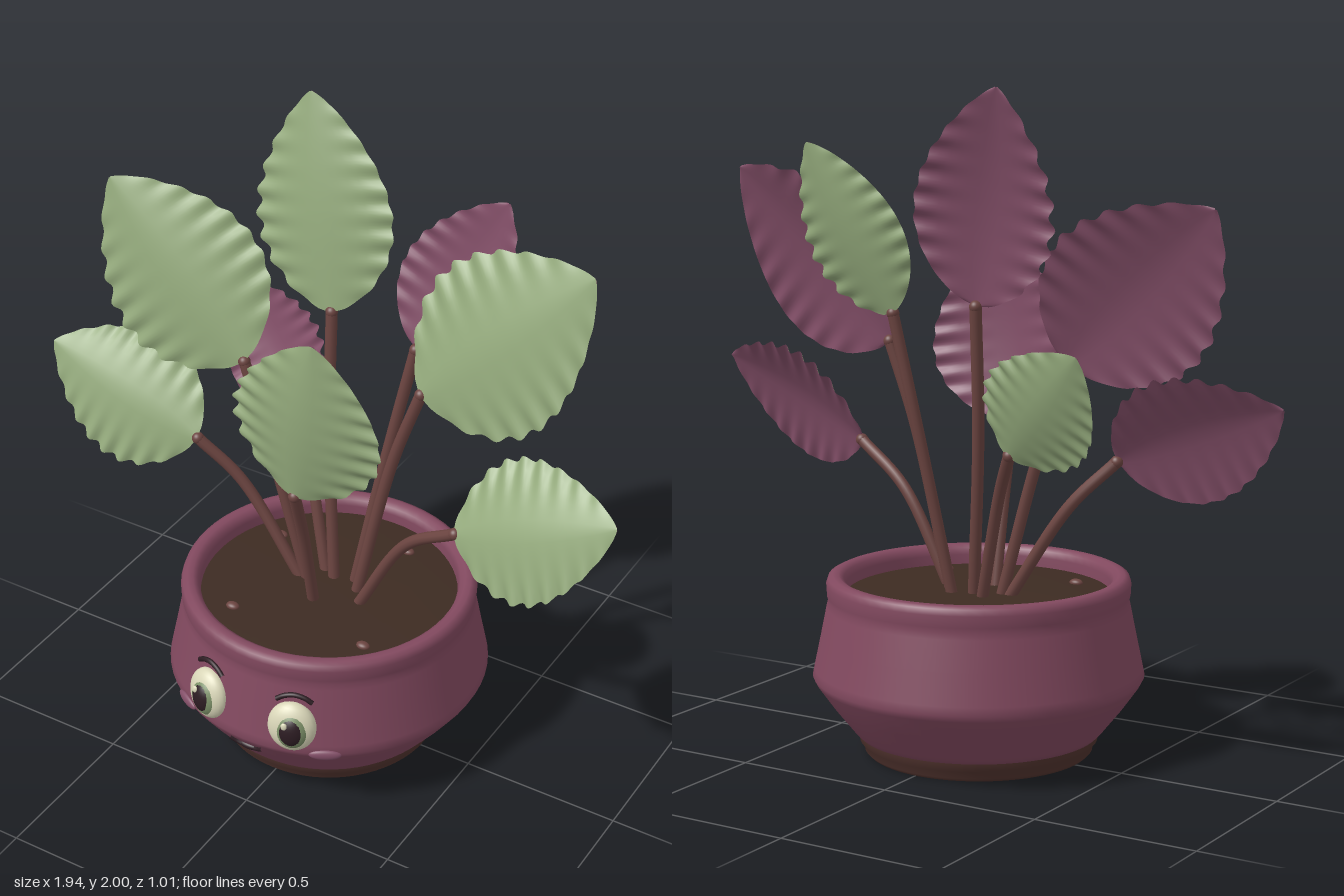
import * as THREE from 'three';

const mat = (name, color) => {
  const m = new THREE.MeshStandardMaterial({ color });
  m.name = name;
  return m;
};
const V = (x, y, z) => new THREE.Vector3(x, y, z);

export function createModel() {
  const model = new THREE.Group();
  model.name = 'pottedPlant';
  const potMat = mat('plum glaze', 0x82495f), footMat = mat('brown clay', 0x4f322d);
  const soilMat = mat('soil', 0x3d2b22), stemMat = mat('stem brown', 0x6b4440);
  const greenMat = mat('leaf green', 0x94aa7c), underMat = mat('leaf plum', 0x834f68);
  const whiteMat = mat('eye cream', 0xd9d6b8), irisMat = mat('iris green', 0x7c9068);
  const darkMat = mat('dark features', 0x2c1c22);

  const add = (parent, name, geometry, material) => {
    const mesh = new THREE.Mesh(geometry, material);
    mesh.name = name;
    parent.add(mesh);
    return mesh;
  };
  const lathe = (pts) => new THREE.LatheGeometry(pts.map(([x, y]) => new THREE.Vector2(x, y)), 64);
  const blob = (parent, name, material, pos, scale) => {
    const m = add(parent, name, new THREE.SphereGeometry(1, 28, 18), material);
    m.position.set(...pos);
    m.scale.set(...scale);
    return m;
  };
  const tube = (parent, name, pts, r, material, n = 24) =>
    add(parent, name, new THREE.TubeGeometry(new THREE.CatmullRomCurve3(pts), n, r, 10), material);

  // Pot, foot and soil
  const pot = new THREE.Group();
  pot.name = 'pot';
  pot.position.set(-0.01, 0, -0.005);
  model.add(pot);
  add(pot, 'foot', lathe([[0, 0.015], [0.29, 0.015], [0.3, 0], [0.335, 0], [0.345, 0.01],
    [0.347, 0.03], [0.36, 0.04], [0.362, 0.065]]), footMat);
  add(pot, 'potBody', lathe([[0.34, 0.055], [0.365, 0.06], [0.38, 0.075], [0.44, 0.15], [0.49, 0.22],
    [0.5, 0.24], [0.495, 0.265], [0.475, 0.36], [0.457, 0.45], [0.452, 0.47], [0.456, 0.485],
    [0.458, 0.52], [0.452, 0.538], [0.438, 0.545], [0.42, 0.545], [0.405, 0.535], [0.398, 0.515],
    [0.398, 0.46]]), potMat);
  add(pot, 'soil', lathe([[0.402, 0.485], [0.25, 0.492], [0, 0.495]]), soilMat);
  for (const [x, z] of [[-0.2, 0.24], [0.24, 0.2], [-0.27, -0.15], [0.12, -0.28]])
    blob(pot, 'pebble', stemMat, [x, 0.492, z], [0.022, 0.012, 0.016]);

  // Face, laid on the curved wall of the pot
  const wall = (y) => (y > 0.24 ? 0.5 - (y - 0.24) * 0.2 : 0.5 - (0.24 - y) * 0.7);
  const onPot = (x, y, lift = 0) => V(x, y, Math.sqrt(wall(y) ** 2 - x * x) + lift);
  const face = new THREE.Group();
  face.name = 'face';
  pot.add(face);
  for (const side of [-1, 1]) {
    const eye = new THREE.Group();
    eye.name = side > 0 ? 'leftEye' : 'rightEye';
    eye.position.copy(onPot(side * 0.148, 0.325, -0.003));
    eye.rotation.set(-0.12, side * 0.3, 0, 'YXZ');
    face.add(eye);
    blob(eye, 'eyeWhite', whiteMat, [0, 0, 0], [0.075, 0.083, 0.042]);
    blob(eye, 'iris', irisMat, [0.004, -0.003, 0.013], [0.054, 0.064, 0.036]);
    blob(eye, 'pupil', darkMat, [0.004, -0.003, 0.018], [0.046, 0.056, 0.034]);
    blob(eye, 'eyeGlint', whiteMat, [-0.014, 0.022, 0.046], [0.01, 0.012, 0.006]);
    const brow = [-0.052, -0.03, 0, 0.03, 0.052].map((u) =>
      onPot(side * 0.148 + u, 0.432 - u * u * 8, 0.004));
    tube(face, 'eyebrow', brow, 0.008, darkMat);
    const cheek = blob(face, 'cheek', underMat, onPot(side * 0.247, 0.235).toArray(), [0.05, 0.018, 0.012]);
    cheek.rotation.y = side * 0.5;
  }
  const smile = [-0.058, -0.035, 0, 0.035, 0.058].map((u) =>
    onPot(u, 0.188 + u * u * 6.5, 0.006));
  tube(face, 'mouth', smile, 0.008, darkMat);
  blob(face, 'mouthFill', darkMat, onPot(0, 0.192, 0.002).toArray(), [0.036, 0.012, 0.014]);

  // Leaf blade: scalloped oval, folded along the midrib, with ruffled edges
  function blade(base, tip, hint, width, fold, back) {
    const d = tip.clone().sub(base), length = d.length();
    d.normalize();
    const n = hint.clone().addScaledVector(d, -hint.dot(d)).normalize();
    const c = d.clone().cross(n);
    const rows = 72, cols = 12, pos = [], index = [];
    for (let i = 0; i <= rows; i++) {
      const t = i / rows;
      const w = Math.max(0.015, Math.sin(Math.PI * Math.min(t, 0.9999) ** 0.8) ** 0.75);
      const wave = Math.cos(t * Math.PI * 18);
      for (let j = 0; j <= cols; j++) {
        const s = (j / cols) * 2 - 1, a = Math.abs(s);
        const across = s * w * width * 0.5 * (1 + 0.035 * wave * a ** 3);
        const height = 0.022 * Math.sin(Math.PI * t) - fold * w * a ** 1.4
          + 0.007 * wave * w * a ** 3 - (back ? 0.006 * (1 - a * a) : 0);
        const p = base.clone().addScaledVector(d, t * length)
          .addScaledVector(c, across).addScaledVector(n, height);
        pos.push(p.x, p.y, p.z);
        if (i < rows && j < cols) {
          const k = i * (cols + 1) + j, u = k + cols + 1;
          if (back) index.push(k, u, k + 1, k + 1, u, u + 1);
          else index.push(k, k + 1, u, k + 1, u + 1, u);
        }
      }
    }
    const g = new THREE.BufferGeometry();
    g.setAttribute('position', new THREE.Float32BufferAttribute(pos, 3));
    g.setIndex(index);
    g.computeVertexNormals();
    return g;
  }

  // Each leaf: stem root, stem middle, blade base, blade tip, facing, width, fold
  const leaves = [
    ['lowRight', [-0.11, 0.47, -0.01], [-0.32, 0.78, 0.0], [-0.45, 0.92, 0.05], [-0.97, 1.11, 0.06], [0.2, 0.42, 0.9], 0.42, 0.04],
    ['lowLeft', [0.1, 0.47, 0.015], [0.27, 0.77, 0.02], [0.45, 0.905, 0.06], [0.97, 1.13, 0.08], [-0.24, 0.44, 0.9], 0.42, 0.04],
    ['upperRight', [-0.09, 0.47, -0.01], [-0.2, 0.86, -0.01], [-0.32, 1.2, -0.02], [-0.81, 1.67, -0.06], [0.18, 0.25, 0.95], 0.52, 0.04],
    ['upperLeft', [0.07, 0.47, -0.03], [0.17, 0.98, -0.07], [0.25, 1.24, -0.08], [0.75, 1.745, -0.15], [-0.17, 0.25, 0.95], 0.53, 0.04],
    ['topBack', [-0.02, 0.47, -0.05], [-0.08, 1.0, -0.12], [-0.1, 1.37, -0.16], [-0.245, 2.0, -0.29], [0.06, 0.2, 1], 0.44, 0.04],
    ['frontMiddle', [-0.02, 0.47, 0.07], [-0.01, 0.78, 0.145], [0.01, 0.975, 0.23], [0.09, 1.53, 0.255], [0.03, 0, 1], 0.48, 0.055],
    ['turnedLeft', [0.04, 0.47, -0.07], [0.12, 0.97, -0.13], [0.19, 1.33, -0.17], [0.42, 1.83, -0.27], [0.06, -0.23, -0.97], 0.36, 0.03],
    ['turnedRight', [-0.06, 0.47, -0.07], [-0.17, 0.82, -0.15], [-0.24, 0.95, -0.22], [-0.53, 1.27, -0.34], [0.1, -0.35, -0.9], 0.36, 0.03],
  ];
  for (const [name, root, middle, base, tip, facing, width, fold] of leaves) {
    const leaf = new THREE.Group();
    leaf.name = name + 'Leaf';
    model.add(leaf);
    const b = V(...base), t = V(...tip), n = V(...facing).normalize();
    tube(leaf, 'stem', [V(...root), V(...middle), b.clone().addScaledVector(n, -0.008)], 0.018, stemMat, 32);
    blob(leaf, 'stemEnd', stemMat, b.clone().addScaledVector(n, -0.008).toArray(), [0.019, 0.019, 0.019]);
    add(leaf, 'leafTop', blade(b, t, n, width, fold, false), greenMat);
    add(leaf, 'leafUnderside', blade(b, t, n, width, fold, true), underMat);
  }
  return model;
}
